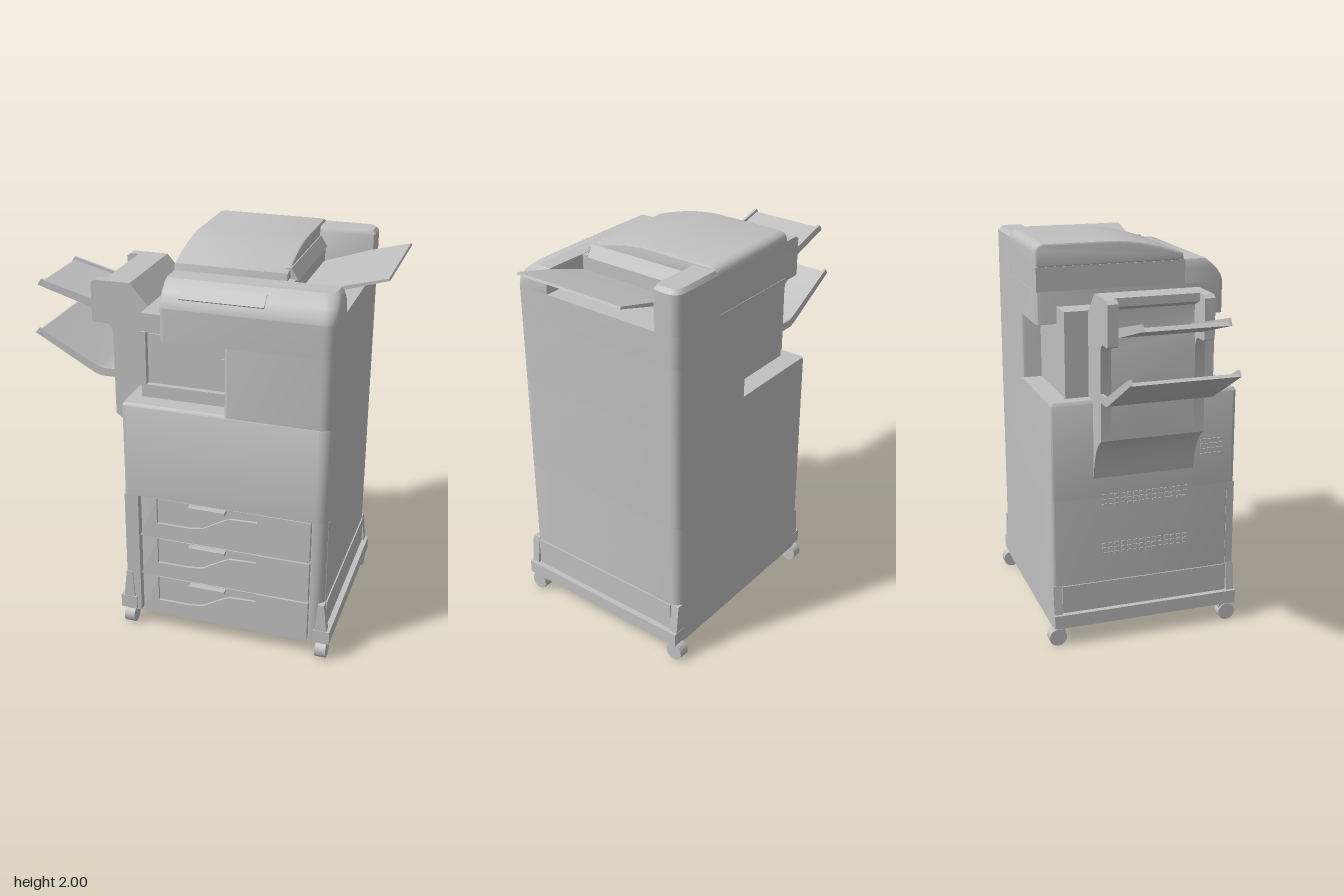
import * as THREE from 'three';
import { toCreasedNormals } from 'three/addons/utils/BufferGeometryUtils.js';

export function createModel() {
  const group = new THREE.Group();
  const grey = new THREE.MeshStandardMaterial({ color: 0xc0c0c0 });
  grey.name = 'light grey plastic';

  function add(name, geo) {
    const mesh = new THREE.Mesh(geo, grey);
    mesh.name = name;
    group.add(mesh);
    return mesh;
  }
  const box = (name, x0, x1, y0, y1, z0, z1) => add(name,
    new THREE.BoxGeometry(x1 - x0, y1 - y0, z1 - z0)
      .translate((x0 + x1) / 2, (y0 + y1) / 2, (z0 + z1) / 2));

  // side-to-side outline [x, y] extruded along z
  function prism(name, pts, z0, z1) {
    const shape = new THREE.Shape(pts.map(p => new THREE.Vector2(...p)));
    const geo = new THREE.ExtrudeGeometry(shape, { depth: z1 - z0, bevelEnabled: false });
    return add(name, toCreasedNormals(geo.translate(0, 0, z0), 0.6));
  }

  // ring of points round a rectangle with its own radius at each corner
  // radii: front left (-x), front right (+x), back right, back left
  function ring(x0, x1, z0, z1, radii) {
    const corners = [[x0, z1, 1, -1], [x1, z1, -1, -1], [x1, z0, -1, 1], [x0, z0, 1, 1]];
    const out = [];
    corners.forEach(([x, z, sx, sz], i) => {
      for (let k = 0; k <= 6; k++) {
        const a = Math.PI + i * Math.PI / 2 + k * Math.PI / 12;
        out.push([x + radii[i] * (sx + Math.cos(a)), z + radii[i] * (sz - Math.sin(a))]);
      }
    });
    return out;
  }

  // upright solid lofted through rings [y, x0, x1, z0, z1]
  function loft(name, levels, radii) {
    const pos = [], idx = [];
    const rings = levels.map(([y, ...r]) => ring(...r, radii).map(([x, z]) => [x, y, z]));
    const n = rings[0].length;
    rings.forEach(r => r.forEach(p => pos.push(...p)));
    for (let j = 0; j < rings.length - 1; j++) {
      for (let i = 0; i < n; i++) {
        const a = j * n + i, b = j * n + (i + 1) % n;
        idx.push(a, b, b + n, a, b + n, a + n);
      }
    }
    const top = (rings.length - 1) * n;
    for (let i = 1; i < n - 1; i++) {
      idx.push(0, i + 1, i, top, top + i, top + i + 1);
    }
    const geo = new THREE.BufferGeometry();
    geo.setAttribute('position', new THREE.Float32BufferAttribute(pos, 3));
    geo.setIndex(idx);
    return add(name, toCreasedNormals(geo, 0.6));
  }

  // cabinet, with a notch on the left at mid height
  const round = [0.02, 0.06, 0.05, 0.02];
  const square = [0.004, 0.004, 0.004, 0.004];
  loft('lowerCabinet', [[0.09, -0.34, 0.7, -0.48, 0.45], [0.77, -0.34, 0.7, -0.48, 0.45]],
    [0.004, 0.004, 0.05, 0.02]);
  box('leftFrontColumn', -0.34, -0.268, 0.09, 0.77, 0.45, 0.49);
  loft('rightFrontColumn', [[0.09, 0.624, 0.7, 0.42, 0.49], [0.77, 0.624, 0.7, 0.42, 0.49]],
    [0.004, 0.06, 0.004, 0.004]);
  loft('middleCabinet', [[0.77, -0.34, 0.7, -0.48, 0.49], [1.255, -0.34, 0.7, -0.48, 0.49],
    [1.27, -0.33, 0.7, -0.48, 0.48]], round);
  loft('notchColumn', [[1.26, 0.18, 0.7, -0.48, 0.49], [1.61, 0.18, 0.7, -0.48, 0.49]], round);
  loft('scannerBody', [[1.61, -0.135, 0.7, -0.48, 0.49], [1.77, -0.135, 0.7, -0.48, 0.49]], round);

  // rounded control shoulder, deck and rear bar around the side tray recess
  loft('controlShoulder', [
    [1.77, -0.135, 0.7, 0.28, 0.49], [1.8, -0.135, 0.7, 0.28, 0.483],
    [1.84, -0.135, 0.697, 0.28, 0.455], [1.875, -0.135, 0.685, 0.28, 0.415],
    [1.89, -0.13, 0.67, 0.28, 0.395]], [0.02, 0.06, 0.004, 0.004]);
  box('scannerDeck', -0.135, 0.45, 1.77, 1.888, -0.478, 0.285);
  loft('rearBar', [[1.77, 0.4, 0.7, -0.48, -0.34], [1.965, 0.4, 0.7, -0.48, -0.34],
    [1.985, 0.4, 0.685, -0.465, -0.35]], [0.004, 0.02, 0.05, 0.004]);
  const panel = box('controlPanel', -0.04, 0.365, -0.034, 0.034, -0.004, 0.004);
  panel.position.set(0, 1.842, 0.454);
  panel.rotation.x = -0.78;

  // domed document lid, extruded along x
  const lidShape = new THREE.Shape();
  lidShape.moveTo(-0.27, 1.893);
  lidShape.lineTo(-0.265, 1.915);
  lidShape.quadraticCurveTo(-0.06, 1.99, 0.1, 1.99);
  lidShape.lineTo(0.43, 1.99);
  lidShape.quadraticCurveTo(0.47, 1.99, 0.47, 1.95);
  lidShape.lineTo(0.47, 1.893);
  const lid = new THREE.ExtrudeGeometry(lidShape, {
    depth: 0.525, bevelThickness: 0.015, bevelSize: 0.01, bevelSegments: 2, curveSegments: 14 });
  add('documentLid', toCreasedNormals(lid.rotateY(Math.PI / 2).translate(-0.12, 0, 0), 0.6));
  prism('lidEndSlope', [[0.4, 1.885], [0.46, 1.885], [0.425, 1.94], [0.4, 1.94]], -0.35, 0.24);

  // right-hand output tray
  prism('sideTray', [[0.45, 1.798], [0.69, 1.876], [0.885, 1.935], [0.88, 1.945],
    [0.68, 1.892], [0.45, 1.815]], -0.325, 0.272);

  // bridge unit in the notch, with framed front door
  box('bridgeUnit', -0.27, 0.18, 1.27, 1.608, -0.38, 0.36);
  box('bridgeTop', -0.27, -0.13, 1.6, 1.695, -0.38, 0.38);
  box('bridgeSill', -0.27, 0.178, 1.27, 1.335, 0.36, 0.39);
  box('bridgeLeftFrame', -0.27, -0.245, 1.335, 1.605, 0.36, 0.39);
  box('bridgeDoor', -0.235, 0.168, 1.35, 1.595, 0.36, 0.378);
  box('doorLatch', 0.13, 0.168, 1.43, 1.51, 0.378, 0.385);

  // drawers with scooped handle recesses
  const drawerEdges = [[0.09, 0.31], [0.318, 0.536], [0.544, 0.765]];
  for (const [b, t] of drawerEdges) {
    prism('drawerFront', [[-0.262, b], [0.618, b], [0.618, t], [0.35, t], [0.35, t - 0.045],
      [0.21, t - 0.05], [0.16, t - 0.075], [0.07, t - 0.128], [0, t - 0.138],
      [-0.17, t - 0.138], [-0.17, t]], 0.44, 0.488);
    box('handleRecess', -0.18, 0.36, t - 0.15, t - 0.006, 0.44, 0.474);
    box('drawerGrip', 0, 0.19, t - 0.024, t - 0.008, 0.46, 0.51);
  }

  // finisher on the left: two full cheeks and a set-back middle
  const foot = [[-0.465, 1.1], [-0.42, 1.065], [-0.385, 1.02], [-0.355, 0.95], [-0.34, 0.87],
    [-0.335, 1.27], [-0.27, 1.27], [-0.27, 1.68], [-0.37, 1.795]];
  const cheek = [...foot, [-0.555, 1.795], [-0.575, 1.78], [-0.575, 1.585], [-0.565, 1.578],
    [-0.495, 1.578], [-0.475, 1.565], [-0.465, 1.54]];
  prism('finisherCheek', cheek, 0.21, 0.262);
  prism('finisherCheek', cheek, -0.262, -0.21);
  prism('finisherCore', [...foot, [-0.51, 1.795], [-0.51, 1.755], [-0.45, 1.73], [-0.45, 1.6],
    [-0.465, 1.54]], -0.21, 0.21);

  // finisher trays: thin floor with raised side rims
  const upper = [[-0.89, 1.72], [-0.575, 1.625], [-0.45, 1.6]];
  const upperTop = [[-0.45, 1.643], [-0.575, 1.672], [-0.87, 1.75]];
  const lower = [[-0.89, 1.485], [-0.575, 1.307], [-0.54, 1.295], [-0.46, 1.295]];
  const lowerTop = [[-0.46, 1.337], [-0.53, 1.337], [-0.56, 1.347], [-0.87, 1.51]];
  const trays = [['upperTray', upper, upperTop, 0.21], ['lowerTray', lower, lowerTop, 0.262]];
  for (const [name, under, over, w] of trays) {
    prism(name, [...under, ...over.map(([x, y]) => [x, y - 0.015])], -w + 0.012, w - 0.012);
    for (const s of [-1, 1]) {
      prism(name + 'Rim', [...under, ...over], s > 0 ? w - 0.014 : -w, s > 0 ? w : -w + 0.014);
    }
  }

  // vent ribs on the left side
  for (const y of [0.46, 0.72]) {
    for (let r = 0; r < 3; r++) {
      for (let k = 0; k < 14; k++) {
        const z = -0.22 + k * 0.033;
        box('ventRib', -0.345, -0.338, y + r * 0.025, y + r * 0.025 + 0.012, z, z + 0.022);
      }
    }
  }
  for (let r = 0; r < 4; r++) {
    box('frontVentRib', -0.345, -0.338, 0.93 + r * 0.025, 0.942 + r * 0.025, 0.3, 0.42);
  }

  // base rails, corner brackets and casters on both sides
  for (const s of [-1, 1]) {
    const X = u => 0.18 + s * u;
    const span = (a, b) => [Math.min(X(a), X(b)), Math.max(X(a), X(b))];
    box('baseRail', ...span(0.47, 0.555), 0.1, 0.17, -0.48, 0.5);
    box('sideSkirt', ...span(0.5, 0.527), 0.17, 0.315, -0.43, 0.45);
    for (const f of [-1, 1]) {
      const outline = [[X(0.48), 0.16], [X(0.54), 0.16], [X(0.522), 0.32], [X(0.49), 0.32]];
      if (s < 0) outline.reverse();
      prism('cornerBracket', outline, f > 0 ? 0.455 : -0.478, f > 0 ? 0.497 : -0.435);
      const wheel = new THREE.CylinderGeometry(0.045, 0.045, 0.055, 24).rotateZ(Math.PI / 2);
      add('casterWheel', wheel).position.set(X(0.512), 0.045, f * 0.46);
      box('casterFork', ...span(0.492, 0.532), 0.06, 0.105, f * 0.445 - 0.025, f * 0.445 + 0.025);
    }
  }
  return group;
}
